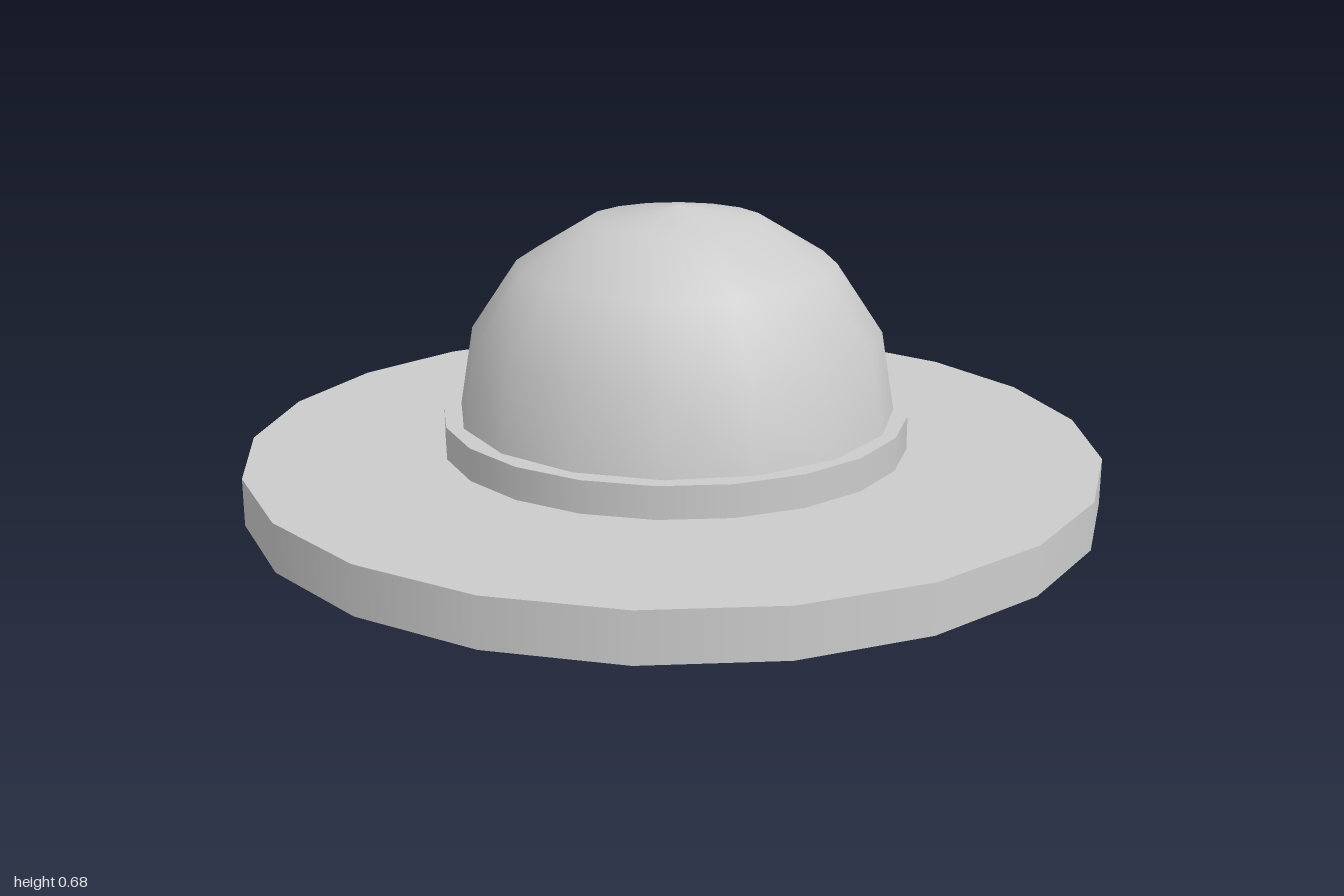
import * as THREE from 'three';

const material = new THREE.MeshStandardMaterial({ color: 0xcccccc });

// Upright many-sided disc between two heights
function disc(name, radius, bottom, top) {
  const geometry = new THREE.CylinderGeometry(radius, radius, top - bottom, 21, 1, false, -0.02);
  const mesh = new THREE.Mesh(geometry, material);
  mesh.name = name;
  mesh.position.y = (bottom + top) / 2;
  return mesh;
}

export function createModel() {
  const hat = new THREE.Group();
  hat.name = 'hat';

  // Wide flat brim, tipped very slightly up at the front left
  const brim = disc('brim', 1, 0.01, 0.12);
  brim.rotation.set(-0.007, 0, 0.007);
  hat.add(brim);

  // Band around the foot of the crown
  const band = disc('band', 0.548, 0.08, 0.2);
  band.position.z = -0.007;
  hat.add(band);

  // Domed crown, its foot set inside the band
  const profile = [
    [0.52, 0.165], [0.482, 0.387], [0.373, 0.55], [0.205, 0.652], [0, 0.685],
  ].map(([r, y]) => new THREE.Vector2(r, y));
  const crown = new THREE.Mesh(new THREE.LatheGeometry(profile, 16, 0.117), material);
  crown.name = 'crown';
  crown.position.z = -0.01;
  hat.add(crown);

  return hat;
}
